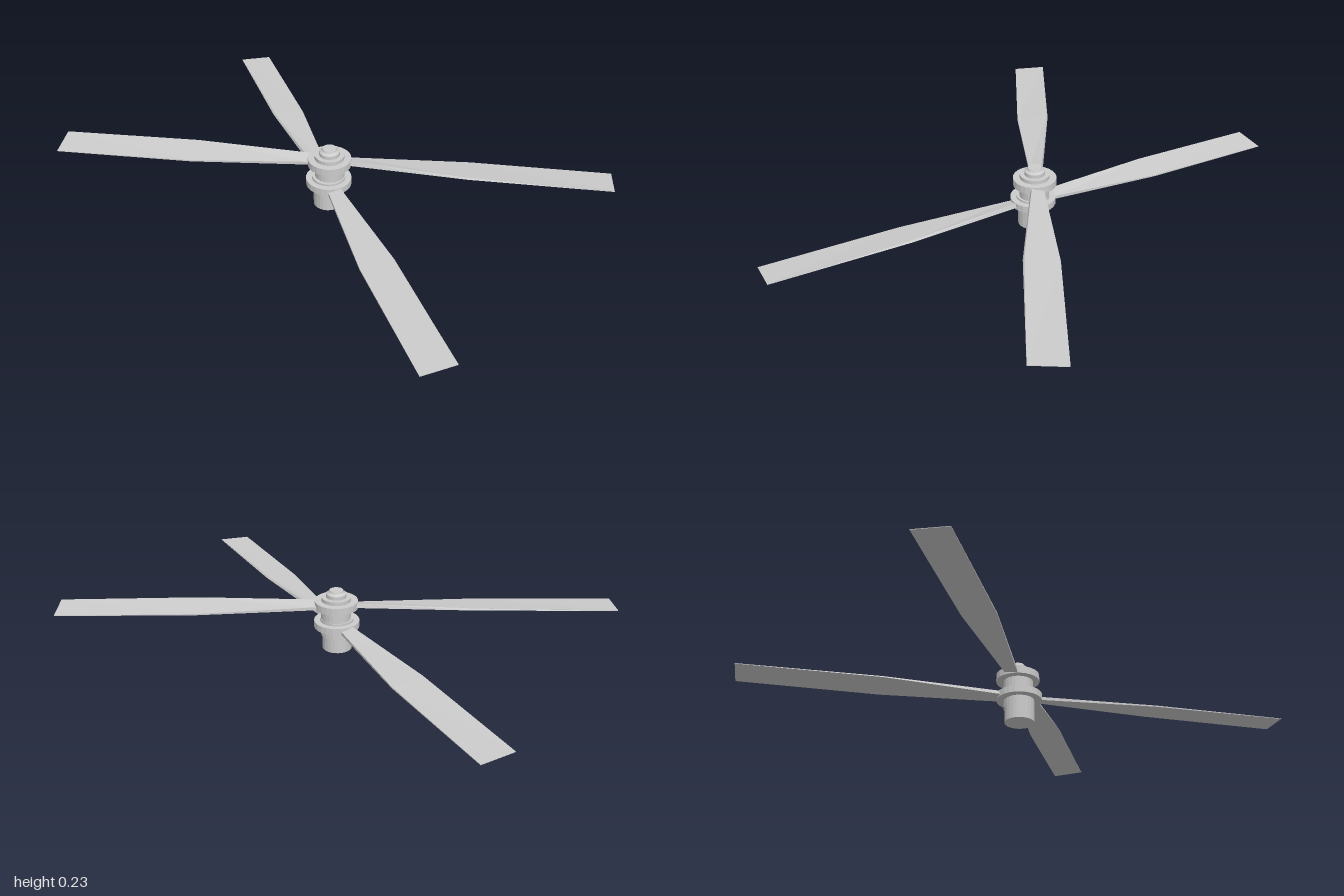
import * as THREE from 'three';

const material = new THREE.MeshStandardMaterial({ color: 0xcccccc, flatShading: true });

// Closed turned part from [radius, y] pairs, standing at x, z
function turned(name, x, z, profile) {
  const bottom = profile[0][1], top = profile[profile.length - 1][1];
  const points = [[0, bottom], ...profile, [0, top]].map(([r, y]) => new THREE.Vector2(r, y));
  const mesh = new THREE.Mesh(new THREE.LatheGeometry(points, 24), material);
  mesh.name = name;
  mesh.position.set(x, 0, z);
  return mesh;
}

// Tapered, pitched blade along +x; lead = +1 or -1 puts the raised leading edge at +z or -z
function bladeGeometry(lead, length) {
  // radius, half width, pitch rise, thickness, slope of the leading face
  const stations = [
    [0.03, 0.020, 0.007, 0.016, 0.004],
    [0.08, 0.025, 0.008, 0.015, 0.005],
    [0.50, 0.061, 0.012, 0.006, 0.005],
    [length, 0.061, 0.008, 0.002, 0],
  ];
  const positions = [];
  for (const [r, w, rise, t, slope] of stations) {
    positions.push(
      r, 0, -w * lead,
      r, t * 0.8, -w * lead,
      r, rise + t, (w - slope) * lead,
      r, rise, w * lead,
    );
  }
  const index = [];
  const tri = (a, b, c) => (lead > 0 ? index.push(a, b, c) : index.push(a, c, b));
  const quad = (a, b, c, d) => { tri(a, b, c); tri(a, c, d); };
  for (let s = 0; s < (stations.length - 1) * 4; s += 4) {
    quad(s, s + 1, s + 5, s + 4);     // trailing edge
    quad(s + 1, s + 2, s + 6, s + 5); // top
    quad(s + 2, s + 3, s + 7, s + 6); // leading edge
    quad(s, s + 4, s + 7, s + 3);     // underside, split along the same diagonal as the top
  }
  // End caps
  const e = (stations.length - 1) * 4;
  quad(0, 3, 2, 1);
  quad(e, e + 1, e + 2, e + 3);
  const geometry = new THREE.BufferGeometry();
  geometry.setAttribute('position', new THREE.Float32BufferAttribute(positions, 3));
  geometry.setIndex(index);
  geometry.computeVertexNormals();
  return geometry;
}

// Two opposite blades
function rotor(name, [x, y, z], degrees, lead, length) {
  const group = new THREE.Group();
  group.name = name;
  const geometry = bladeGeometry(lead, length);
  for (let i = 0; i < 2; i++) {
    const blade = new THREE.Mesh(geometry, material);
    blade.name = name + 'Blade' + (i + 1);
    blade.rotation.y = THREE.MathUtils.degToRad(degrees) + i * Math.PI;
    group.add(blade);
  }
  group.position.set(x, y, z);
  return group;
}

export function createModel() {
  const model = new THREE.Group();
  model.name = 'coaxialRotor';

  // Outer mast, inner mast and the hubs they carry
  model.add(
    turned('outerMast', -0.011, 0, [[0.054, 0], [0.054, 0.1]]),
    turned('innerMast', -0.004, -0.002, [[0.054, 0.056], [0.054, 0.19]]),
    turned('lowerCollar', -0.009, 0, [[0.083, 0.087], [0.083, 0.112], [0.061, 0.112], [0.061, 0.12]]),
    turned('upperCollar', -0.004, -0.004, [[0.079, 0.165], [0.079, 0.192], [0.054, 0.192], [0.054, 0.206]]),
    turned('cap', -0.004, -0.004, [[0.037, 0.2], [0.037, 0.219], [0.027, 0.226], [0.025, 0.232]]),
  );

  // Counter-rotating pairs
  model.add(rotor('lowerRotor', [-0.012, 0.087, 0], 83.6, -1, 0.998));
  model.add(rotor('upperRotor', [-0.001, 0.166, -0.0105], -32.9, 1, 1.003));
  return model;
}
